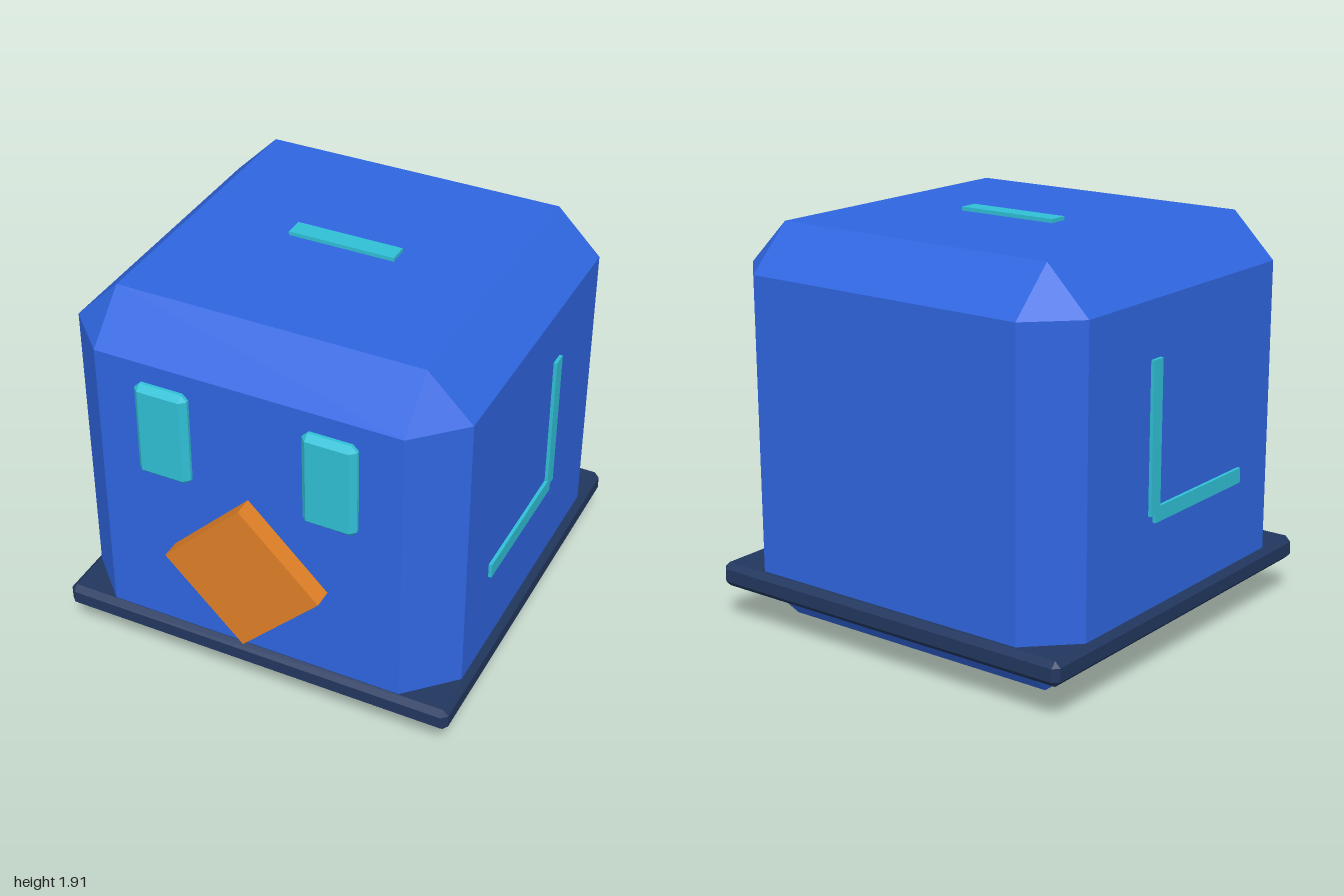
import * as THREE from 'three';
import { ConvexGeometry } from 'three/addons/geometries/ConvexGeometry.js';

const flat = (name, color) => {
  const m = new THREE.MeshStandardMaterial({ color });
  m.name = name;
  return m;
};

// Box from min to max corners with every edge cut by a flat chamfer c
function chamferBox(min, max, c) {
  const centre = min.map((v, i) => (v + max[i]) / 2);
  const half = min.map((v, i) => (max[i] - v) / 2);
  const points = [];
  for (const sx of [-1, 1]) for (const sy of [-1, 1]) for (const sz of [-1, 1]) {
    const s = [sx, sy, sz];
    // each corner becomes three points, one on each face
    for (let axis = 0; axis < 3; axis++) {
      const p = s.map((sign, i) => centre[i] + sign * (half[i] - (i === axis ? 0 : c)));
      points.push(new THREE.Vector3(...p));
    }
  }
  return new ConvexGeometry(points);
}

function plainBox(min, max) {
  const g = new THREE.BoxGeometry(...max.map((v, i) => v - min[i]));
  g.translate(...max.map((v, i) => (v + min[i]) / 2));
  return g;
}

export function createModel() {
  const blue = flat('body blue', 0x2f66e0);
  const navy = flat('skirt navy', 0x22375f);
  const cyan = flat('light cyan', 0x30c0d6);
  const orange = flat('nose orange', 0xe08027);

  const model = new THREE.Group();
  model.name = 'cubeRobot';
  const add = (name, geometry, material) => {
    const mesh = new THREE.Mesh(geometry, material);
    mesh.name = name;
    model.add(mesh);
    return mesh;
  };

  // Body and the skirt around its foot
  add('body', chamferBox([-0.934, 0.02, -0.96], [0.934, 1.89, 0.908], 0.21), blue);
  add('skirt', chamferBox([-0.966, 0.175, -1], [0.966, 0.29, 0.938], 0.027), navy);

  // Diamond nose
  const side = 0.378 * Math.SQRT2;
  const nose = add('nose', new THREE.BoxGeometry(side, side, 0.2), orange);
  nose.rotation.z = Math.PI / 4;
  nose.position.set(0, 0.745, 0.9);

  // Eyes and L-shaped side strips, mirrored
  for (const [label, s] of [['left', 1], ['right', -1]]) {
    const range = (a, b) => (s > 0 ? [a, b] : [-b, -a]);
    const [e0, e1] = range(0.27, 0.525);
    add(label + 'Eye', chamferBox([e0, 1.12, 0.85], [e1, 1.587, 0.95], 0.027), cyan);
    const [x0, x1] = range(0.9, 0.95);
    add(label + 'UprightStrip', plainBox([x0, 0.725, -0.295], [x1, 1.42, -0.225]), cyan);
    add(label + 'LevelStrip', plainBox([x0, 0.687, -0.26], [x1 - s * 0.0005, 0.758, 0.44]), cyan);
  }

  // Slot light on top and plate underneath
  add('topSlot', plainBox([-0.256, 1.86, -0.078], [0.256, 1.908, 0.014]), cyan);
  add('bottomPlate', plainBox([-0.397, 0, -0.423], [0.397, 0.04, 0.371]), cyan);

  return model;
}
